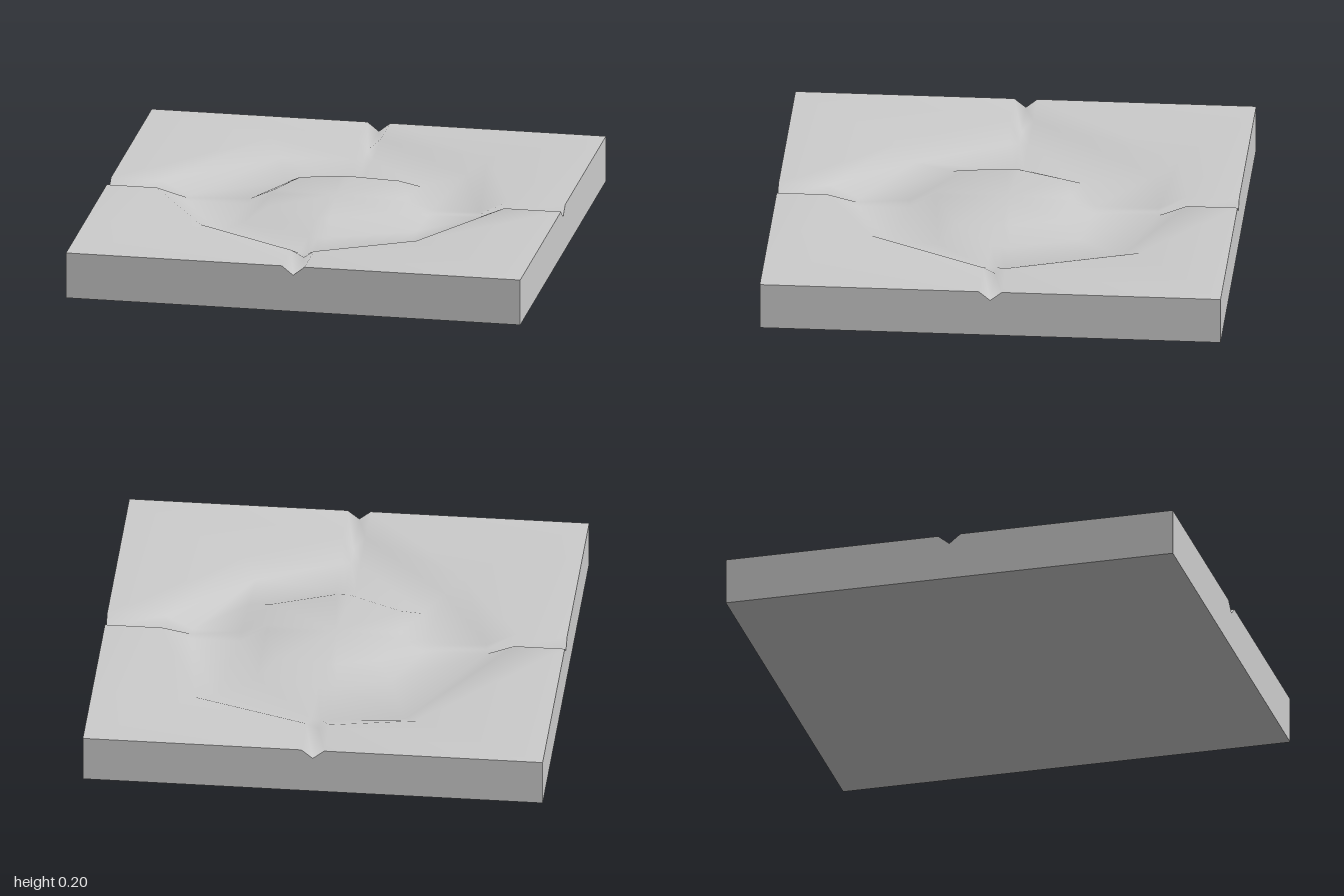
import * as THREE from 'three';

// One closed outline of 16 points. Quarters run +x, +z, -x, -z; each holds
// an axis point, a point beside it, a diagonal point and one beside the next axis.
function ring(axis, diagonals, half, axisY, y) {
  const points = [];
  for (let k = 0; k < 4; k++) {
    const c = Math.round(Math.cos(k * Math.PI / 2));
    const s = Math.round(Math.sin(k * Math.PI / 2));
    const a = axis[k], b = axis[(k + 1) % 4];
    points.push([a.r * c, axisY, a.r * s]);
    points.push([a.side * c - half * s, y, a.side * s + half * c]);
    points.push([diagonals[k][0], y, diagonals[k][1]]);
    points.push([-b.side * s + half * c, y, b.side * c + half * s]);
  }
  return points;
}

// Joins successive outlines; an optional centre point closes the first one.
function loft(rings, centre) {
  const n = rings[0].length, index = [];
  const points = rings.flat();
  for (let r = 0; r < rings.length - 1; r++) {
    for (let i = 0; i < n; i++) {
      const a = r * n + i, b = r * n + (i + 1) % n;
      index.push(a, b, a + n, b, b + n, a + n);
    }
  }
  if (centre) {
    points.push(centre);
    for (let i = 0; i < n; i++) index.push(points.length - 1, (i + 1) % n, i);
  }
  const geometry = new THREE.BufferGeometry();
  geometry.setAttribute('position', new THREE.Float32BufferAttribute(points.flat(), 3));
  geometry.setIndex(index);
  return geometry;
}

export function createModel() {
  const group = new THREE.Group();
  group.name = 'moatTile';
  const stone = new THREE.MeshStandardMaterial({ color: 0xcccccc });
  stone.name = 'light grey';
  const add = (name, geometry) => {
    const mesh = new THREE.Mesh(geometry, stone);
    mesh.name = name;
    group.add(mesh);
  };
  const top = 0.205, bed = 0.165, floor = 0.15;
  const axes = (radii, extra = 0) => radii.map(r => ({ r, side: r + extra }));
  const scale = (pts, f) => pts.map(([x, z]) => [x * f, z * f]);

  // Uneven outlines of the island and of the basin rim
  const islandAxes = [0.3, 0.31, 0.28, 0.27];
  const islandCorners = [[0.3, 0.2], [-0.26, 0.2], [-0.2, -0.22], [0.23, -0.25]];
  const rimAxes = [0.72, 0.75, 0.75, 0.75];
  const rimCorners = [[0.46, 0.555], [-0.5, 0.51], [-0.42, -0.71], [0.55, -0.61]];
  const tileCorners = [[1, 1], [-1, 1], [-1, -1], [1, -1]];

  // Terrain: island, circular moat and four channels, smoothly shaded
  const border = ring(axes([1, 1, 1, 1]), tileCorners, 0.05, bed, top);
  const terrain = loft([
    ring(axes(islandAxes), islandCorners, 0.03, 0.2, 0.2),
    ring(axes(islandAxes.map(r => r * 1.38)), scale(islandCorners, 1.35), 0.04, floor, floor),
    ring(axes(rimAxes.map(r => r * 0.87)), scale(rimCorners, 0.86), 0.04, floor, floor),
    ring(axes(rimAxes, 0.03), rimCorners, 0.05, bed, top),
    border,
  ], [0, 0.204, 0]);
  terrain.computeVertexNormals();
  add('terrain', terrain);

  // Notched outer walls, flat shaded
  const walls = loft([border, border.map(([x, , z]) => [x, 0, z])]).toNonIndexed();
  walls.computeVertexNormals();
  add('sideWalls', walls);

  // Underside
  add('underside', new THREE.PlaneGeometry(2, 2).rotateX(Math.PI / 2));
  return group;
}
